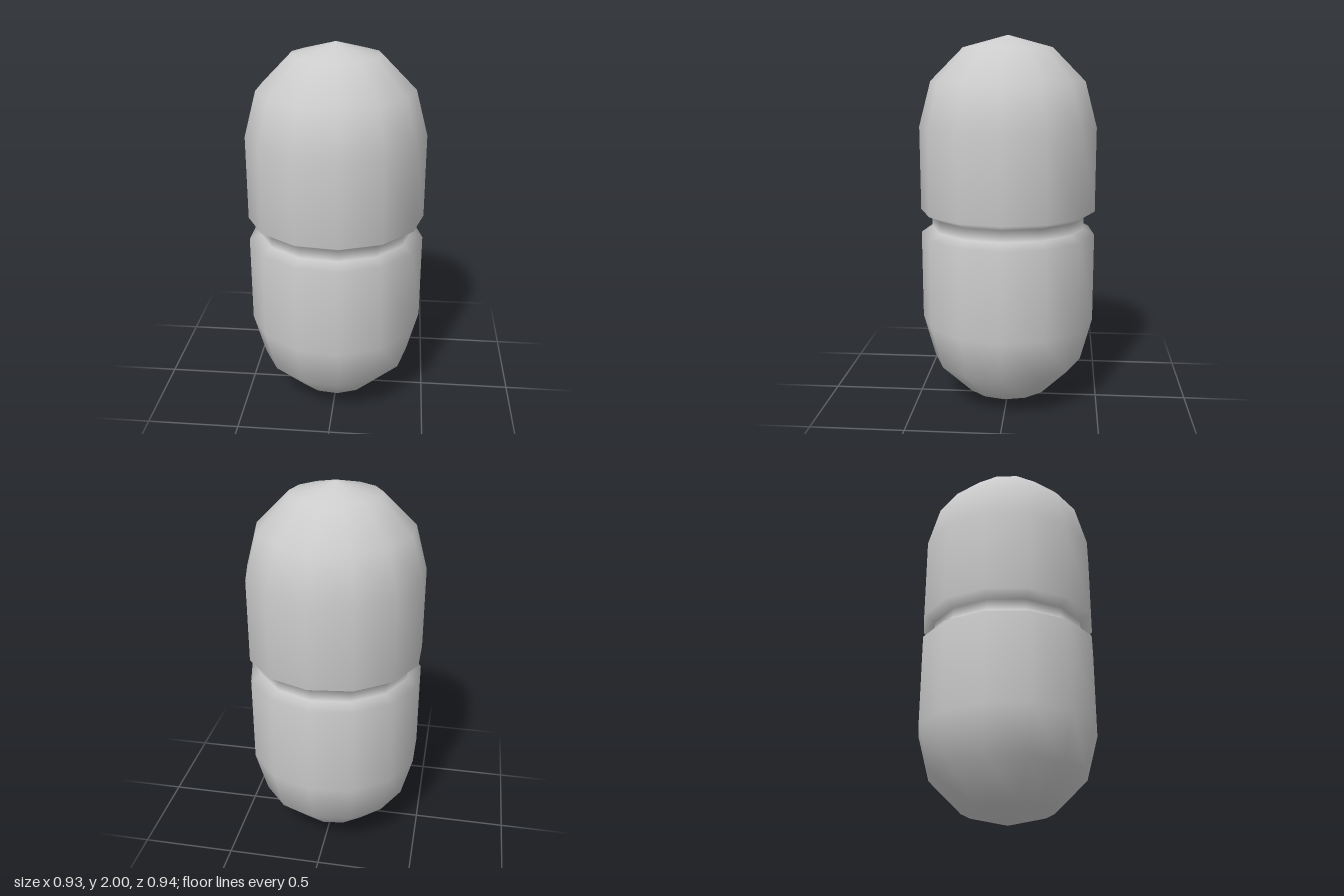
import * as THREE from 'three';

const SIDES = 13;
const RADIUS = 0.473;
const GROOVE_RADIUS = 0.413;
const HEIGHT = 2;
const CAP_STEPS = 3;

export function createModel() {
  const group = new THREE.Group();
  group.name = 'capsule';

  // Profile from the bottom pole to the top pole
  const profile = [];
  const add = (r, y) => profile.push(new THREE.Vector2(r, y));
  const capRing = (i) => {
    const a = (i / CAP_STEPS) * Math.PI / 2;
    return [RADIUS * Math.sin(a), RADIUS * (1 - Math.cos(a))];
  };

  // Lower rounded cap
  for (let i = 0; i <= CAP_STEPS; i++) {
    const [r, y] = capRing(i);
    add(r, y);
  }
  // Groove around the waist
  add(RADIUS, 0.952);
  add(GROOVE_RADIUS, 0.984);
  add(GROOVE_RADIUS, 1.047);
  add(RADIUS, 1.079);
  // Upper rounded cap
  for (let i = CAP_STEPS; i >= 0; i--) {
    const [r, y] = capRing(i);
    add(r, HEIGHT - y);
  }

  // A corner of the odd-sided body points to +x
  const body = new THREE.Mesh(
    new THREE.LatheGeometry(profile, SIDES, Math.PI / 2),
    new THREE.MeshStandardMaterial({ color: 0xcccccc })
  );
  body.name = 'groovedBody';
  // Centre the odd-sided outline on x = 0
  body.position.x = -RADIUS * (1 - Math.cos(Math.PI / SIDES)) / 2;
  group.add(body);

  return group;
}
